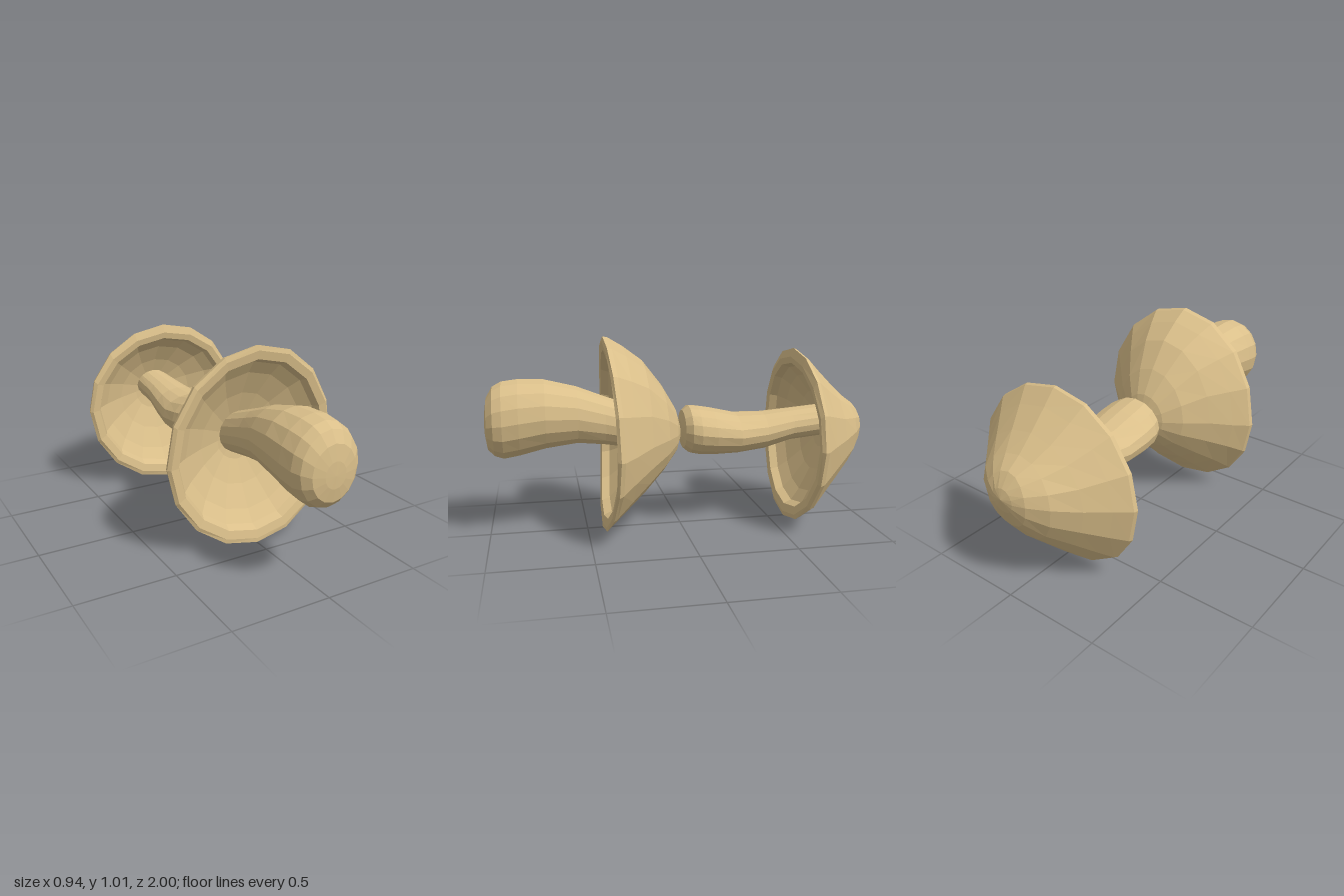
import * as THREE from 'three';

const SIDES = 16;

// One egg-shaped ring: [zTop, yTop, zSide, xSide, zBottom, yBottom, yMid]
function ringPoint([zt, yt, zs, xs, zb, yb, ym], j) {
  const a = (j / SIDES) * Math.PI * 2;
  const c = Math.cos(a);
  const y = ym + c * (c > 0 ? yt - ym : ym - yb);
  const z = zs + ((c > 0 ? zt : zb) - zs) * c * c;
  return [xs * Math.sin(a), y, z];
}

// Skin a surface over a list of rings; rings of zero width become poles
function loft(rings) {
  const pos = [];
  for (let i = 0; i < rings.length - 1; i++) {
    const p = rings[i], q = rings[i + 1];
    for (let j = 0; j < SIDES; j++) {
      const a = ringPoint(p, j), b = ringPoint(p, j + 1);
      const c = ringPoint(q, j), d = ringPoint(q, j + 1);
      if (p[3] > 0) pos.push(...a, ...c, ...b);
      if (q[3] > 0) pos.push(...(p[3] > 0 ? b : a), ...c, ...d);
    }
  }
  const g = new THREE.BufferGeometry();
  g.setAttribute('position', new THREE.Float32BufferAttribute(pos, 3));
  g.computeVertexNormals();
  return g;
}

// Hollow underside, shrinking from the lip to the cap centre: [scale, depth]
const HOLLOW = [[0.91, 0.005], [0.87, 0.045], [0.74, 0.085], [0.5, 0.135], [0.25, 0.17], [0, 0.18]];
function capRings(outer) {
  const [zt, yt, zs, xs, zb, yb, ym] = outer[outer.length - 1];
  const cy = 0.51;
  const shrink = (y, s) => cy + (y - cy) * s;
  const inner = HOLLOW.map(([s, d]) => {
    const flat = (z) => zs + (z - zs) * s - d;
    return [flat(zt), shrink(yt, s), zs - d, xs * s, flat(zb), shrink(yb, s), shrink(ym, s)];
  });
  return [...outer, ...inner];
}

// Stem sections: [z, yTop, yBottom, halfWidth]
const stemRings = (sections) =>
  sections.map(([z, t, b, x]) => [z, t, z, x, z, b, (t + b) / 2]);

const FRONT_CAP = [
  [0, 0.52, 0, 0, 0, 0.52, 0.52],
  [0.01, 0.57, 0.008, 0.06, 0.012, 0.45, 0.51],
  [0.03, 0.64, 0.03, 0.12, 0.03, 0.4, 0.51],
  [0.1, 0.76, 0.09, 0.21, 0.1, 0.31, 0.51],
  [0.2, 0.89, 0.19, 0.31, 0.2, 0.205, 0.5],
  [0.3, 0.965, 0.28, 0.4, 0.3, 0.115, 0.48],
  [0.375, 1.01, 0.345, 0.465, 0.4, 0.025, 0.47],
  [0.4, 1.015, 0.365, 0.47, 0.42, 0.003, 0.47],
  [0.405, 0.99, 0.38, 0.455, 0.42, 0.025, 0.47],
];
const BACK_CAP = [
  [-1, 0.53, -1, 0, -1, 0.53, 0.53],
  [-0.985, 0.58, -0.99, 0.06, -0.985, 0.46, 0.52],
  [-0.94, 0.645, -0.97, 0.12, -0.95, 0.37, 0.52],
  [-0.87, 0.695, -0.91, 0.21, -0.87, 0.265, 0.51],
  [-0.79, 0.77, -0.81, 0.31, -0.78, 0.175, 0.49],
  [-0.7, 0.86, -0.72, 0.4, -0.68, 0.075, 0.48],
  [-0.635, 0.93, -0.655, 0.465, -0.62, 0.015, 0.47],
  [-0.62, 0.935, -0.635, 0.47, -0.59, 0, 0.47],
  [-0.605, 0.89, -0.62, 0.455, -0.585, 0.025, 0.47],
];
const FRONT_STEM = [
  [0.18, 0.63, 0.42, 0.1], [0.4, 0.71, 0.455, 0.115], [0.54, 0.765, 0.47, 0.14],
  [0.7, 0.805, 0.45, 0.17], [0.83, 0.81, 0.418, 0.176], [0.91, 0.8, 0.404, 0.17],
  [0.955, 0.775, 0.42, 0.153], [0.987, 0.72, 0.455, 0.115], [0.998, 0.645, 0.52, 0.055],
  [1, 0.58, 0.58, 0],
];
const BACK_STEM = [
  [-0.82, 0.63, 0.46, 0.1], [-0.6, 0.61, 0.44, 0.115], [-0.45, 0.597, 0.4, 0.14],
  [-0.3, 0.598, 0.384, 0.17], [-0.17, 0.628, 0.38, 0.176], [-0.09, 0.642, 0.384, 0.17],
  [-0.045, 0.645, 0.393, 0.153], [-0.013, 0.62, 0.42, 0.115], [-0.002, 0.565, 0.465, 0.055],
  [0, 0.515, 0.515, 0],
];

export function createModel() {
  const tan = new THREE.MeshStandardMaterial({ color: 0xdabf8a, flatShading: true });
  tan.name = 'tan';
  const model = new THREE.Group();
  model.name = 'mushroomPair';

  // Two mushrooms lying one behind the other, stems toward the front
  const specs = [['front', FRONT_CAP, FRONT_STEM], ['back', BACK_CAP, BACK_STEM]];
  for (const [name, cap, stem] of specs) {
    const mushroom = new THREE.Group();
    mushroom.name = `${name}Mushroom`;
    const capMesh = new THREE.Mesh(loft(capRings(cap)), tan);
    capMesh.name = `${name}Cap`;
    const stemMesh = new THREE.Mesh(loft(stemRings(stem)), tan);
    stemMesh.name = `${name}Stem`;
    mushroom.add(capMesh, stemMesh);
    model.add(mushroom);
  }
  return model;
}
